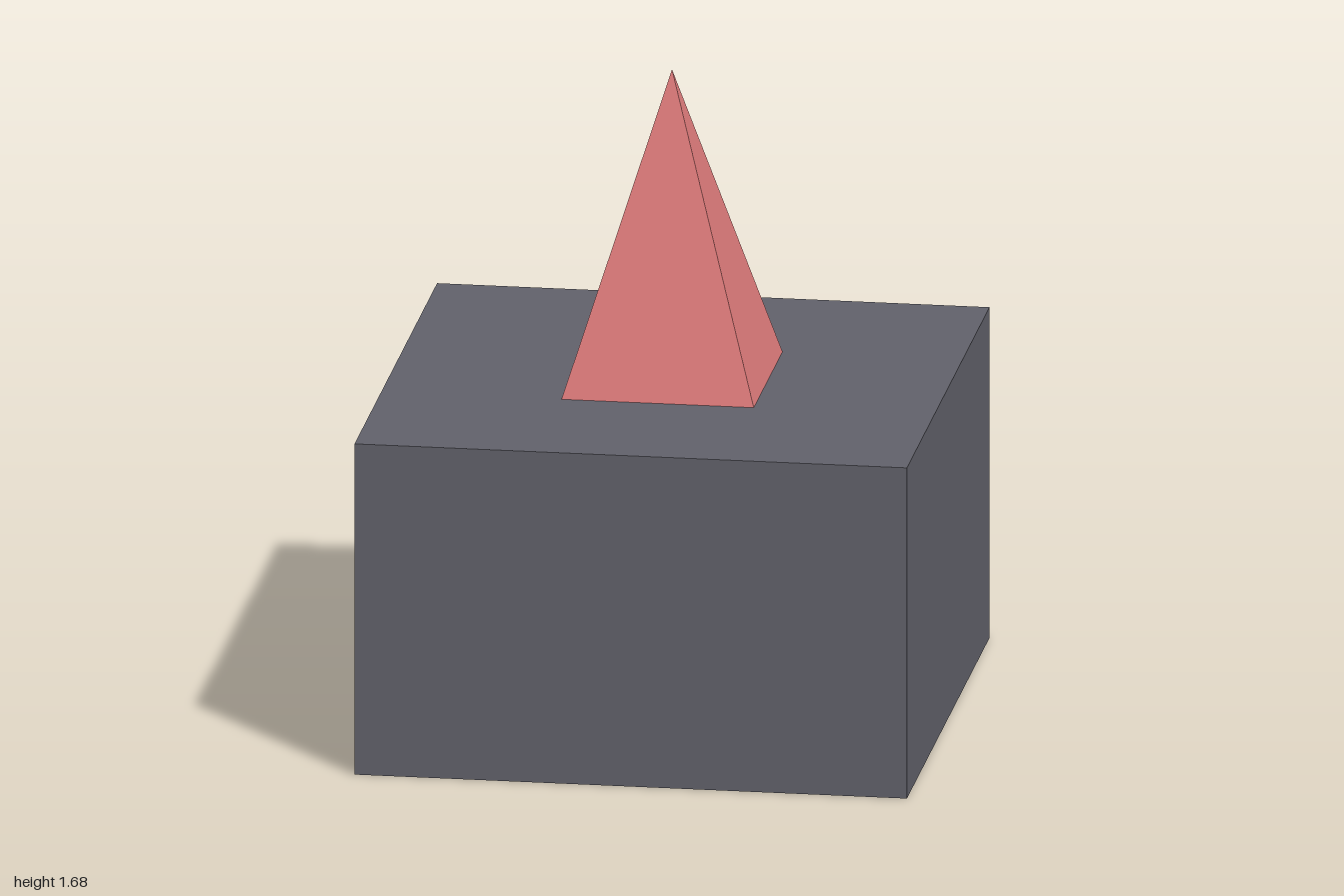
import * as THREE from 'three';

export function createModel() {
  const model = new THREE.Group();
  const slate = new THREE.MeshStandardMaterial({ name: 'slate grey', color: 0x62626b, flatShading: true });
  const coral = new THREE.MeshStandardMaterial({ name: 'coral red', color: 0xdc7a7a, flatShading: true });

  const baseHeight = 0.875;
  const spikeHeight = 0.81;

  // Four-sided parts have their corners on the x and z axes.
  const addPart = (name, geometry, material, y) => {
    const mesh = new THREE.Mesh(geometry, material);
    mesh.name = name;
    mesh.position.y = y;
    model.add(mesh);
  };

  // Square block standing on the ground
  addPart('baseBlock', new THREE.CylinderGeometry(1, 1, baseHeight, 4), slate, baseHeight / 2);

  // Pyramid spike resting on the block
  addPart('spike', new THREE.ConeGeometry(0.348, spikeHeight, 4), coral, baseHeight + spikeHeight / 2);

  return model;
}
